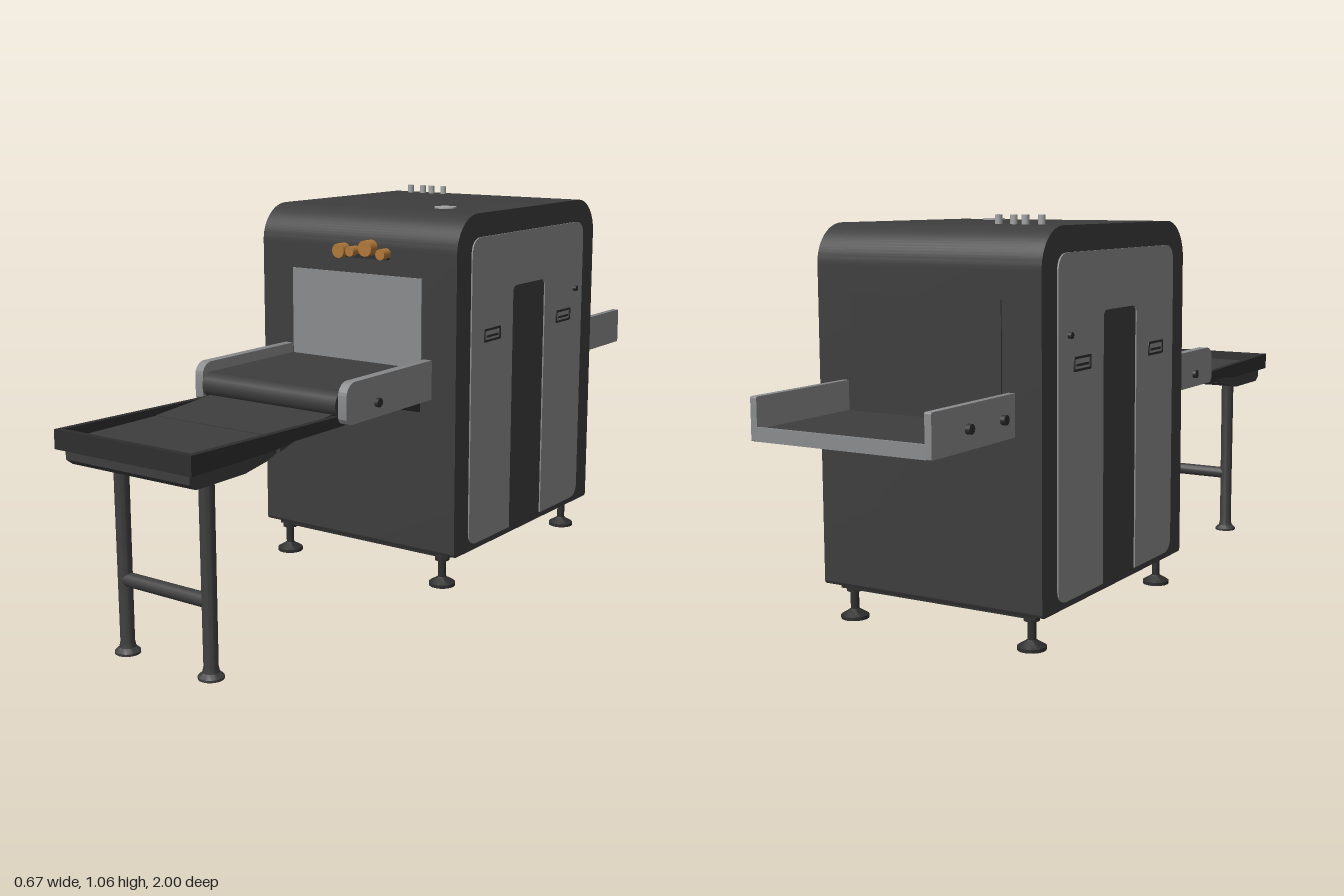
import * as THREE from 'three';
import { toCreasedNormals } from 'three/addons/utils/BufferGeometryUtils.js';

const mat = (name, color) => new THREE.MeshStandardMaterial({ name, color });

export function createModel() {
  const model = new THREE.Group();
  model.name = 'conveyorScanner';
  const charcoal = mat('charcoal', 0x3d3d3d);
  const grey = mat('panelGrey', 0x8a8b8d);
  const black = mat('darkTrim', 0x2e2e2e);
  const gold = mat('gold', 0xb07838);
  const silver = mat('silver', 0xa5a5a5);

  const add = (name, geo, material, x = 0, y = 0, z = 0) => {
    const m = new THREE.Mesh(geo, material);
    m.name = name;
    m.position.set(x, y, z);
    model.add(m);
    return m;
  };
  // box given by its limits
  const box = (name, material, x0, x1, y0, y1, z0, z1) =>
    add(name, new THREE.BoxGeometry(x1 - x0, y1 - y0, z1 - z0), material,
      (x0 + x1) / 2, (y0 + y1) / 2, (z0 + z1) / 2);
  // side outline in (z, y), extruded across x and centred on the given x
  const slab = (name, material, shape, width, x = 0) => {
    const g = new THREE.ExtrudeGeometry(shape, { depth: width, bevelEnabled: false, curveSegments: 10 });
    g.rotateY(-Math.PI / 2);
    g.translate(width / 2, 0, 0);
    return add(name, toCreasedNormals(g, 0.6), material, x);
  };
  const poly = (pts) => new THREE.Shape(pts.map(([a, b]) => new THREE.Vector2(a, b)));
  // rounded rectangle with separate radii for bottom and top corners
  const rounded = (z0, z1, y0, y1, rb0, rb1, rt1, rt0) => {
    const s = new THREE.Shape();
    s.moveTo(z0 + rb0, y0);
    s.lineTo(z1 - rb1, y0);
    s.absarc(z1 - rb1, y0 + rb1, rb1, -Math.PI / 2, 0, false);
    s.lineTo(z1, y1 - rt1);
    s.absarc(z1 - rt1, y1 - rt1, rt1, 0, Math.PI / 2, false);
    s.lineTo(z0 + rt0, y1);
    s.absarc(z0 + rt0, y1 - rt0, rt0, Math.PI / 2, Math.PI, false);
    s.lineTo(z0, y0 + rb0);
    s.absarc(z0 + rb0, y0 + rb0, rb0, Math.PI, Math.PI * 1.5, false);
    return s;
  };
  const turned = (pts) => toCreasedNormals(
    new THREE.LatheGeometry(pts.map(([r, y]) => new THREE.Vector2(r, y)), 20), 0.6);

  // Cabinet
  slab('cabinet', charcoal, rounded(-0.66, 0.1, 0.118, 1.035, 0.01, 0.01, 0.1, 0.1), 0.644);
  box('cabinetBase', black, -0.29, 0.29, 0.106, 0.12, -0.635, 0.08);
  box('entranceCurtain', grey, -0.215, 0.215, 0.6, 0.866, 0.098, 0.104);
  box('exitCurtain', charcoal, -0.215, 0.215, 0.57, 0.866, -0.664, -0.658);

  // Side panels: an arch around the dark centre strip, with recessed grips
  for (const s of [1, -1]) {
    const arch = new THREE.Shape();
    arch.moveTo(-0.55, 0.135);
    arch.lineTo(-0.365, 0.135);
    arch.lineTo(-0.365, 0.805);
    arch.quadraticCurveTo(-0.365, 0.825, -0.345, 0.825);
    arch.lineTo(-0.205, 0.825);
    arch.quadraticCurveTo(-0.185, 0.825, -0.185, 0.805);
    arch.lineTo(-0.185, 0.135);
    arch.lineTo(-0.01, 0.135);
    arch.quadraticCurveTo(0.03, 0.135, 0.03, 0.175);
    arch.lineTo(0.03, 0.925);
    arch.quadraticCurveTo(0.03, 0.972, -0.017, 0.972);
    arch.lineTo(-0.543, 0.972);
    arch.quadraticCurveTo(-0.59, 0.972, -0.59, 0.925);
    arch.lineTo(-0.59, 0.175);
    arch.quadraticCurveTo(-0.59, 0.135, -0.55, 0.135);
    slab('sidePanel', grey, arch, 0.006, s * 0.323);
    for (const z of [-0.075, -0.475]) {
      const frame = rounded(z - 0.043, z + 0.043, 0.688, 0.724, 0.004, 0.004, 0.004, 0.004);
      frame.holes.push(poly([[z - 0.037, 0.694], [z - 0.037, 0.718], [z + 0.037, 0.718], [z + 0.037, 0.694]]));
      slab('gripFrame', black, frame, 0.006, s * 0.325);
      box('gripBar', black, s * 0.326 - 0.002, s * 0.326 + 0.002, 0.7, 0.706, z - 0.03, z + 0.03);
    }
    const lock = add('panelLock', new THREE.CylinderGeometry(0.008, 0.008, 0.014, 12), black, s * 0.329, 0.778, -0.54);
    lock.rotation.z = Math.PI / 2;
  }

  // Adjustable cabinet feet
  const foot = turned([[0, 0.025], [0.036, 0.025], [0.036, 0.034], [0.016, 0.046], [0.011, 0.05],
    [0.011, 0.095], [0.02, 0.097], [0.02, 0.112], [0, 0.112]]);
  for (const x of [-0.265, 0.265])
    for (const z of [0.068, -0.612]) add('cabinetFoot', foot, black, x, 0, z);

  // Top indicators and dial
  for (const x of [-0.247, -0.202, -0.17, -0.127])
    add('topIndicator', new THREE.CylinderGeometry(0.009, 0.009, 0.024, 12), silver, x, 1.046, -0.53);
  add('topDisc', new THREE.CylinderGeometry(0.03, 0.03, 0.006, 24), silver, 0.163, 1.036, -0.09);

  // Gold ornaments above the entrance
  for (const [x, y, r] of [[-0.038, 0.926, 0.02], [0, 0.926, 0.014], [0.05, 0.937, 0.022], [0.1, 0.924, 0.015]]) {
    const m = add('ornament', new THREE.CylinderGeometry(r, r, 0.035, 12), gold, x, y, 0.113);
    m.rotation.x = Math.PI / 2;
  }
  box('ornamentBase', black, -0.06, 0.11, 0.908, 0.918, 0.09, 0.112);

  // Entrance conveyor
  box('entranceBelt', charcoal, -0.217, 0.217, 0.56, 0.626, 0.09, 0.455);
  const roller = add('beltRoller', new THREE.CylinderGeometry(0.033, 0.033, 0.434, 20), charcoal, 0, 0.593, 0.452);
  roller.rotation.z = Math.PI / 2;
  slab('entranceBracket', black, poly([[0.09, 0.505], [0.12, 0.512], [0.2, 0.538], [0.46, 0.538], [0.46, 0.562], [0.09, 0.562]]), 0.42);
  for (const s of [1, -1]) {
    slab('entranceRail', grey, rounded(0.09, 0.478, 0.546, 0.652, 0.001, 0.02, 0.035, 0.001), 0.026, s * 0.234);
    const bolt = add('railBolt', new THREE.CylinderGeometry(0.012, 0.012, 0.014, 14), black, s * 0.25, 0.584, 0.35);
    bolt.rotation.z = Math.PI / 2;
  }

  // Exit conveyor
  box('exitBelt', charcoal, -0.232, 0.232, 0.548, 0.575, -0.994, -0.65);
  box('exitLip', grey, -0.235, 0.235, 0.546, 0.58, -1, -0.994);
  for (const s of [1, -1]) {
    slab('exitRail', grey, rounded(-1, -0.65, 0.546, 0.65, 0.002, 0.002, 0.002, 0.004), 0.018, s * 0.241);
  }
  for (const z of [-0.715, -0.86]) {
    const b = add('exitBolt', new THREE.CylinderGeometry(0.012, 0.012, 0.014, 14), black, -0.255, 0.595, z);
    b.rotation.z = Math.PI / 2;
  }

  // Loading table: ramp, basin and rims, with a narrow gap between the two
  slab('ramp', charcoal, poly([[0.44, 0.54], [0.6, 0.538], [0.678, 0.517], [0.678, 0.553], [0.44, 0.572]]), 0.4);
  slab('tableBasin', charcoal, poly([[0.686, 0.515], [0.72, 0.503], [0.8, 0.49], [0.965, 0.49],
    [0.985, 0.505], [0.985, 0.553], [0.686, 0.553]]), 0.39);
  for (const s of [1, -1])
    slab('tableSideRim', black, poly([[0.44, 0.538], [0.64, 0.538], [0.72, 0.53], [1, 0.53], [1, 0.578], [0.44, 0.564]]), 0.016, s * 0.207);
  box('tableEndRim', black, -0.2, 0.2, 0.53, 0.578, 0.984, 1);

  // Table legs and cross bar
  const leg = turned([[0, 0], [0.032, 0], [0.032, 0.006], [0.021, 0.016], [0.018, 0.03], [0.019, 0.5], [0, 0.5]]);
  for (const x of [-0.136, 0.136]) add('tableLeg', leg, charcoal, x, 0, 0.866);
  const bar = add('legCrossBar', new THREE.CylinderGeometry(0.018, 0.018, 0.27, 16), charcoal, 0, 0.19, 0.866);
  bar.rotation.z = Math.PI / 2;

  return model;
}
